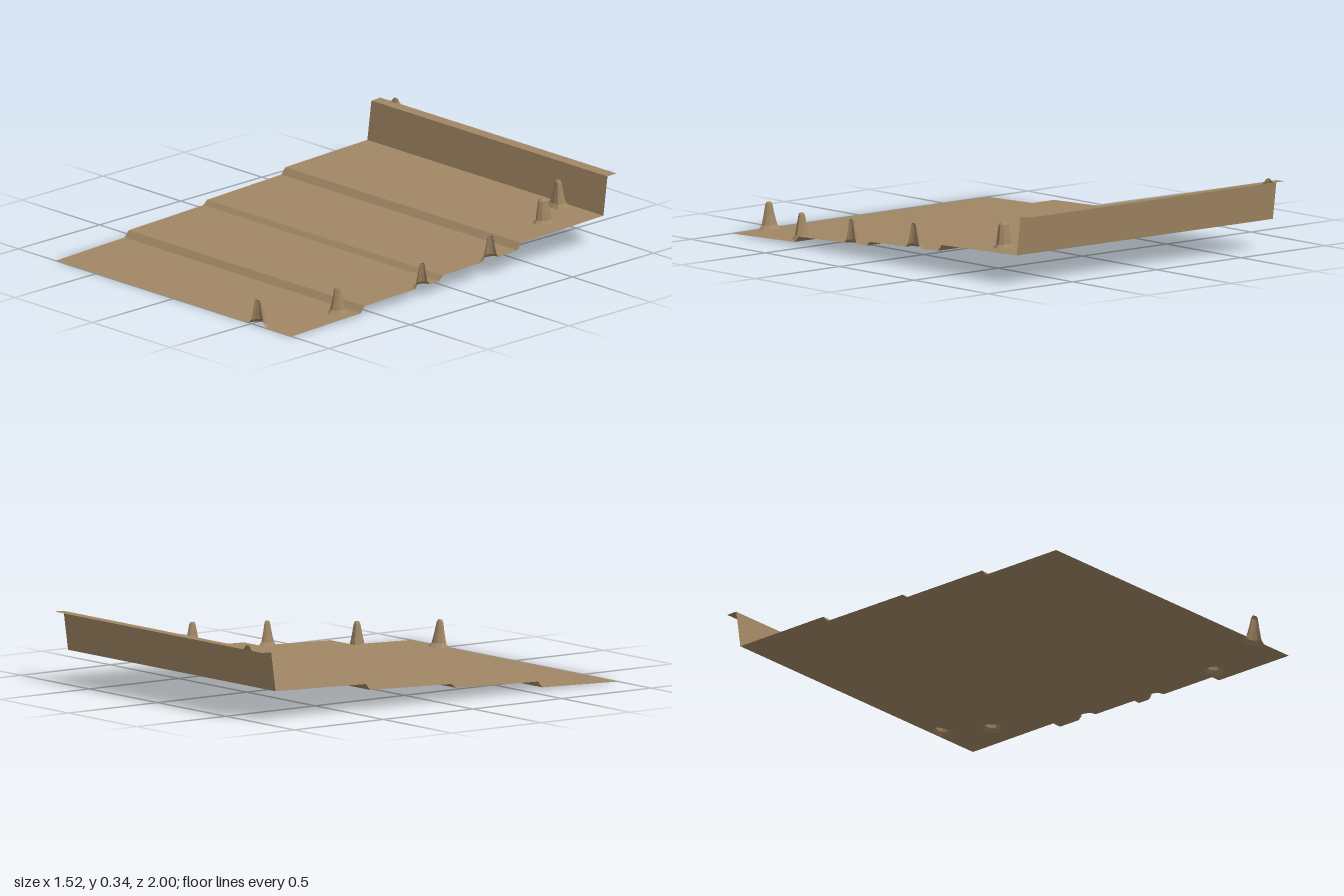
import * as THREE from 'three';

const HALF_WIDTH = 0.76;

// Side profile of the ground as [z, y], from the front edge to the back lip
const PROFILE = [
  [1, 0.003], [0.575, 0.017], [0.55, 0.045], [0.09, 0.06], [0.068, 0.08],
  [-0.39, 0.096], [-0.415, 0.125], [-0.92, 0.14], [-0.945, 0.318], [-1, 0.32],
];
const NAMES = ['frontTerrace', 'firstStep', 'secondTerrace', 'secondStep', 'thirdTerrace',
  'thirdStep', 'backTerrace', 'backWall', 'backLip'];

// Spikes: the edge ones are cut in half by the border of the ground
const SPIKES = [
  { x: 0.54, z: 1, rx: 0.058, rz: 0.058, h: 0.12, strip: 0, cut: 'front' },
  { x: 0.67, z: 0.63, rx: 0.048, rz: 0.046, h: 0.118, strip: 0 },
  { x: 0.76, z: 0.195, rx: 0.04, rz: 0.045, h: 0.11, strip: 2, cut: 'side' },
  { x: 0.76, z: -0.225, rx: 0.04, rz: 0.052, h: 0.11, strip: 4, cut: 'side' },
  { x: 0.625, z: -0.677, rx: 0.05, rz: 0.046, h: 0.112, strip: 6, blunt: 1.5 },
  { x: 0.515, z: -0.875, rx: 0.057, rz: 0.04, h: 0.12, strip: 6 },
  { x: -0.66, z: -1, rx: 0.04, rz: 0.013, h: 0.022, strip: 8, cut: 'back' },
];
const ARCS = {
  front: [Math.PI / 2, Math.PI], side: [Math.PI, Math.PI], back: [-Math.PI / 2, Math.PI],
};

// Height of one strip at depth z
function heightAt(strip, z) {
  const [z0, y0] = PROFILE[strip];
  const [z1, y1] = PROFILE[strip + 1];
  return y0 + ((y1 - y0) * (z - z0)) / (z1 - z0);
}

// Uneven point around a spike; ring factor k is 1 at the base
function ringPoint(s, angle, k) {
  const wobble = s.cut ? 1 : 1 + 0.1 * Math.cos(3 * angle + s.x * 20);
  return [s.x + Math.sin(angle) * s.rx * k * wobble, s.z + Math.cos(angle) * s.rz * k * wobble];
}

function ringAngles(s) {
  const [start, length] = s.cut ? ARCS[s.cut] : [0, Math.PI * 2];
  const n = s.cut ? 6 : 10;
  return Array.from({ length: n + 1 }, (_, i) => start + (length * i) / n);
}

// One sloping strip of ground, open beneath each spike
function makeStrip(i, material) {
  const z0 = PROFILE[i][0], z1 = PROFILE[i + 1][0];
  const outline = [[-HALF_WIDTH, z0]];
  const holes = [];
  const own = SPIKES.filter((s) => s.strip === i);
  const arc = (s) => ringAngles(s).map((a) => ringPoint(s, a, 1));
  const notch = (cut, axis, sign) => {
    for (const s of own.filter((t) => t.cut === cut)) {
      outline.push(...arc(s).sort((a, b) => sign * (a[axis] - b[axis])));
    }
  };
  notch('front', 0, 1);
  outline.push([HALF_WIDTH, z0]);
  notch('side', 1, -1);
  outline.push([HALF_WIDTH, z1]);
  notch('back', 0, -1);
  outline.push([-HALF_WIDTH, z1]);
  const toVec = ([x, z]) => new THREE.Vector2(x, -z);
  const shape = new THREE.Shape(outline.map(toVec));
  for (const s of own.filter((t) => !t.cut)) {
    holes.push(new THREE.Path(arc(s).slice(0, -1).map(toVec)));
  }
  shape.holes = holes;
  const geo = new THREE.ShapeGeometry(shape);
  const p = geo.attributes.position;
  for (let v = 0; v < p.count; v++) {
    const z = -p.getY(v);
    p.setXYZ(v, p.getX(v), heightAt(i, z), z);
  }
  geo.computeVertexNormals();
  const mesh = new THREE.Mesh(geo, material);
  mesh.name = NAMES[i];
  return mesh;
}

// Hollow flared spike made of stacked uneven rings
function makeSpike(s, material) {
  const b = s.blunt || 1;
  const rings = [[1, 0], [0.7, 0.14], [0.5 * Math.sqrt(b), 0.5], [0.31 * b, 0.92], [0.2 * b, 1], [0, 1]];
  const angles = ringAngles(s);
  const positions = [], index = [];
  rings.forEach(([k, t], r) => {
    angles.forEach((a, c) => {
      const [x, z] = ringPoint(s, a, k);
      positions.push(x, heightAt(s.strip, z) + s.h * t, z);
      if (r && c) {
        const n = angles.length, d = r * n + c;
        index.push(d - n - 1, d - n, d, d - n - 1, d, d - 1);
      }
    });
  });
  const geo = new THREE.BufferGeometry();
  geo.setAttribute('position', new THREE.Float32BufferAttribute(positions, 3));
  geo.setIndex(index);
  geo.computeVertexNormals();
  const mesh = new THREE.Mesh(geo, material);
  mesh.name = 'rockSpike';
  return mesh;
}

export function createModel() {
  const group = new THREE.Group();
  group.name = 'terracedGround';
  const earth = new THREE.MeshStandardMaterial({
    color: 0xa08664, flatShading: true, side: THREE.DoubleSide,
  });
  earth.name = 'earthBrown';
  NAMES.forEach((_, i) => group.add(makeStrip(i, earth)));
  SPIKES.forEach((s) => group.add(makeSpike(s, earth)));
  return group;
}
